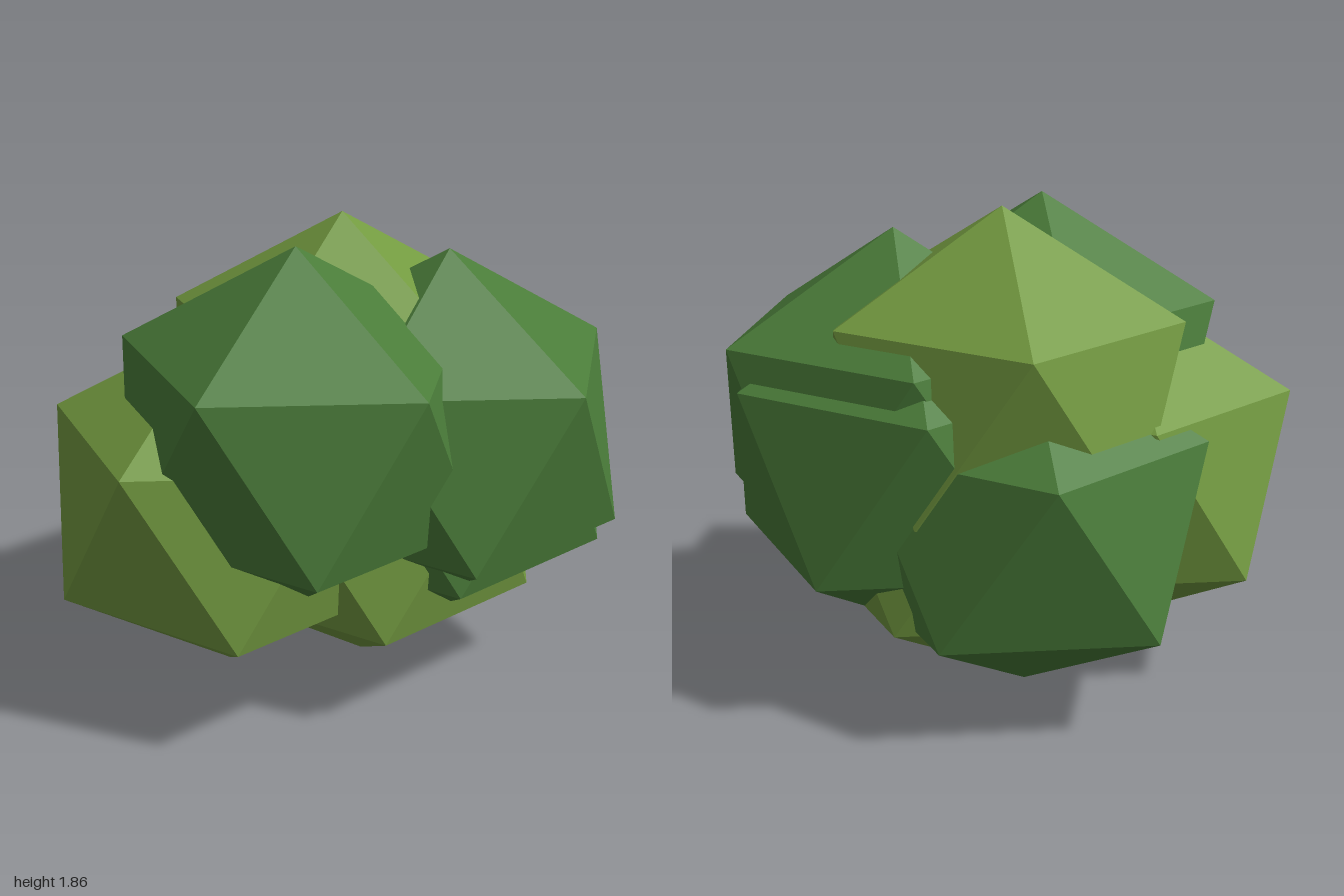
import * as THREE from 'three';

export function createModel() {
  const model = new THREE.Group();
  model.name = 'bush';

  const darkLeaf = new THREE.MeshStandardMaterial({ color: 0x4a7c39, flatShading: true });
  darkLeaf.name = 'dark green leaves';
  const lightLeaf = new THREE.MeshStandardMaterial({ color: 0x739a40, flatShading: true });
  lightLeaf.name = 'light green leaves';

  // Twenty-sided clump standing on one corner, slightly wider than tall
  const clump = new THREE.IcosahedronGeometry(1, 0);
  clump.rotateZ(-Math.atan(2 / (1 + Math.sqrt(5))));
  clump.scale(0.777, 0.714, 0.729);

  // Overlapping clumps: name, material, centre
  const clumps = [
    ['frontLowerClump', lightLeaf, -0.205, 0.793, 0.38],
    ['frontUpperClump', darkLeaf, 0.078, 1.12, 0.247],
    ['leftUpperClump', darkLeaf, 0.26, 1.04, -0.348],
    ['topClump', lightLeaf, -0.108, 1.145, -0.138],
    ['bottomClump', lightLeaf, -0.017, 0.714, -0.168],
    ['rightLowerClump', darkLeaf, -0.265, 0.735, -0.17],
    ['backClump', darkLeaf, 0.155, 0.905, -0.38],
  ];
  for (const [name, material, x, y, z] of clumps) {
    const mesh = new THREE.Mesh(clump, material);
    mesh.name = name;
    mesh.position.set(x, y, z);
    model.add(mesh);
  }
  return model;
}
